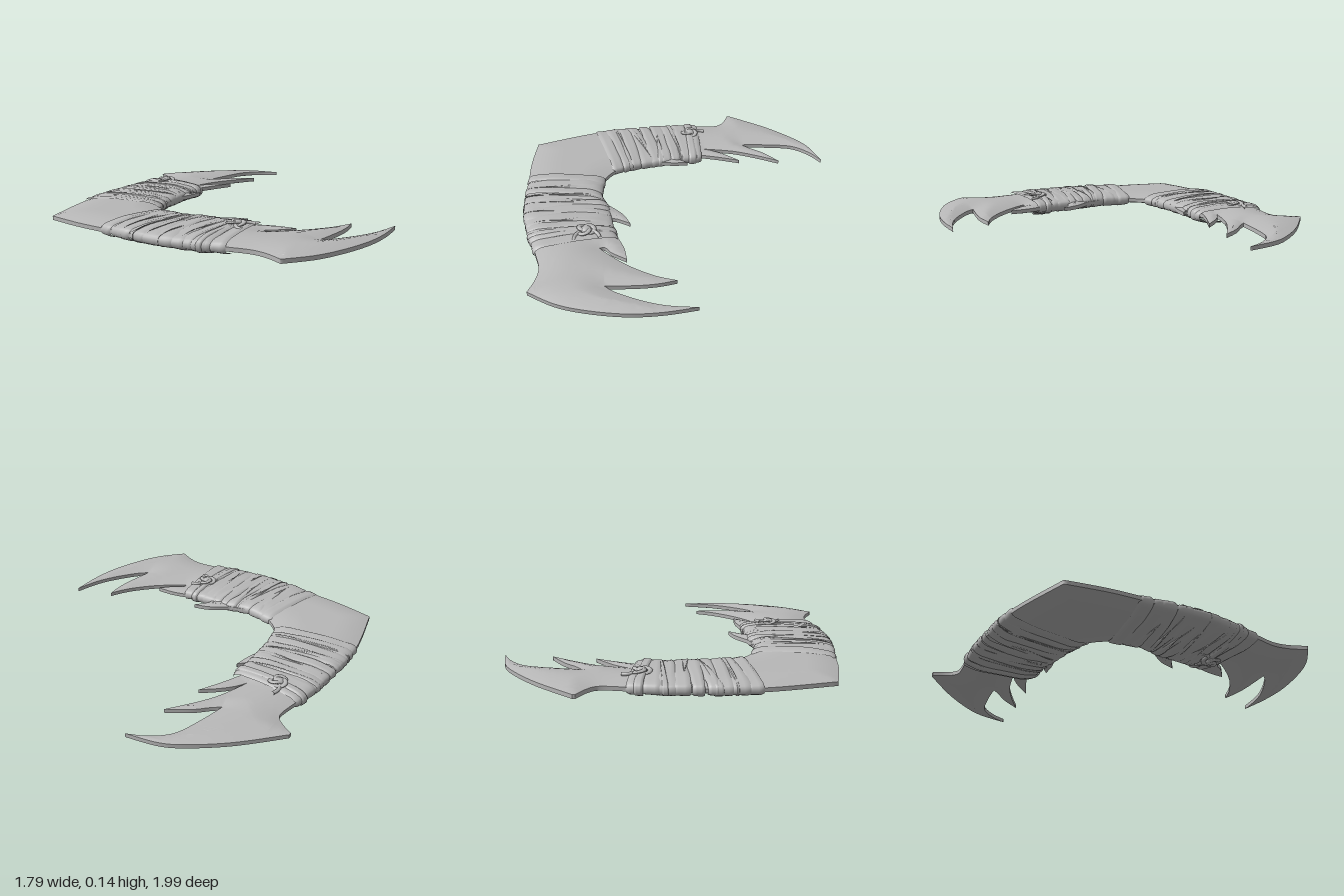
import * as THREE from 'three';
import { mergeVertices, mergeGeometries } from 'three/addons/utils/BufferGeometryUtils.js';

const MID = 0.07; // height of the blade's middle plane

let seed = 7;
const rand = () => (seed = (seed * 16807) % 2147483647) / 2147483647;
const jitter = (s) => (rand() * 2 - 1) * s;

function smoothGeometry(positions) {
  const g = new THREE.BufferGeometry();
  g.setAttribute('position', new THREE.Float32BufferAttribute(positions, 3));
  const merged = mergeVertices(g, 1e-5);
  merged.computeVertexNormals();
  return merged;
}

// Blade outline as x, z points; each row is a smooth run from corner to corner
const TIP = [0.893, -0.455];
const OUTLINE = [
  [[0.823, -0.62], [0.728, -0.73], [0.56, -0.864], [0.332, -1.0]],
  [[0.316, -0.997]],
  [[0.295, -0.93], [0.264, -0.878], [0.216, -0.857], [0.1, -0.85]],
  [[-0.25, -0.805], [-0.55, -0.735], [-0.897, -0.573]],
  [[-0.897, -0.345], [-0.876, -0.13], [-0.838, 0.19], [-0.785, 0.37], [-0.715, 0.546],
    [-0.675, 0.663], [-0.675, 0.758], [-0.7, 0.855]],
  [[-0.55, 0.937], [-0.39, 0.978], [-0.195, 0.995], [-0.02, 0.977], [0.153, 0.933]],
  [[0, 0.927], [-0.127, 0.896], [-0.26, 0.84], [-0.32, 0.797]],
  [[-0.153, 0.785], [-0.05, 0.767], [0.042, 0.737]],
  [[-0.074, 0.705], [-0.206, 0.636], [-0.31, 0.557], [-0.382, 0.49]],
  [[-0.35, 0.487], [-0.31, 0.53], [-0.227, 0.58]],
  [[-0.252, 0.48], [-0.3, 0.38]],
  [[-0.35, 0.22]],
  [[-0.31, 0.225], [-0.237, 0.262]],
  [[-0.285, 0.175], [-0.375, 0.09]],
  [[-0.42, 0], [-0.443, -0.09], [-0.42, -0.196], [-0.36, -0.29], [-0.26, -0.345], [-0.13, -0.39]],
  [[-0.03, -0.385], [0.063, -0.392]],
  [[0.0, -0.43]],
  [[0.13, -0.485]],
  [[0.25, -0.463], [0.385, -0.43]],
  [[0.295, -0.498], [0.22, -0.54], [0.153, -0.56]],
  [[0.34, -0.54], [0.48, -0.497], [0.628, -0.435]],
  [[0.533, -0.53], [0.45, -0.585], [0.405, -0.622]],
  [[0.56, -0.627], [0.718, -0.615], [0.823, -0.546], TIP],
];

function bladeGeometry() {
  const shape = new THREE.Shape().moveTo(...TIP);
  for (const run of OUTLINE) shape.splineThru(run.map((p) => new THREE.Vector2(...p)));
  const rim = shape.getPoints(6);
  if (rim[0].distanceTo(rim[rim.length - 1]) < 1e-6) rim.pop();
  if (THREE.ShapeUtils.isClockWise(rim)) rim.reverse();

  // Half thickness swells from the rim inwards
  const EDGE = 0.011, CORE = 0.035, REACH = 0.17;
  const halfThickness = (p) => {
    let best = REACH * REACH;
    rim.forEach((a, i) => {
      const b = rim[(i + 1) % rim.length];
      const dx = b.x - a.x, dy = b.y - a.y;
      const t = THREE.MathUtils.clamp(((p.x - a.x) * dx + (p.y - a.y) * dy) / (dx * dx + dy * dy), 0, 1);
      best = Math.min(best, (p.x - a.x - t * dx) ** 2 + (p.y - a.y - t * dy) ** 2);
    });
    return EDGE + (CORE - EDGE) * (1 - (1 - Math.sqrt(best) / REACH) ** 2);
  };

  // Faces: split the longest edges until the mesh is fine enough to bend
  const top = [], bottom = [], wall = [], cache = new Map();
  const height = (p) => {
    const key = p.x.toFixed(6) + ',' + p.y.toFixed(6);
    if (!cache.has(key)) cache.set(key, halfThickness(p));
    return cache.get(key);
  };
  const split = (a, b, c) => {
    const ab = a.distanceTo(b), bc = b.distanceTo(c), ca = c.distanceTo(a);
    const longest = Math.max(ab, bc, ca);
    if (longest > 0.045) {
      if (longest === bc) return split(b, c, a);
      if (longest === ca) return split(c, a, b);
      const m = a.clone().add(b).multiplyScalar(0.5);
      split(a, m, c);
      split(m, b, c);
      return;
    }
    for (const p of [a, c, b]) top.push(p.x, MID + height(p), p.y);
    for (const p of [a, b, c]) bottom.push(p.x, MID - height(p), p.y);
  };
  for (const [i, j, k] of THREE.ShapeUtils.triangulateShape(rim, [])) {
    const [a, b, c] = [rim[i], rim[j], rim[k]];
    const turn = (b.x - a.x) * (c.y - a.y) - (b.y - a.y) * (c.x - a.x);
    if (turn > 0) split(a, b, c); else split(a, c, b);
  }

  // Narrow wall around the rim
  rim.forEach((p, i) => {
    const q = rim[(i + 1) % rim.length];
    const lo = MID - EDGE, hi = MID + EDGE;
    wall.push(p.x, lo, p.y, p.x, hi, p.y, q.x, hi, q.y, p.x, lo, p.y, q.x, hi, q.y, q.x, lo, q.y);
  });
  return mergeGeometries([top, bottom, wall].map(smoothGeometry));
}

// One turn of cloth around an arm, from u0 to u1 along its two edge curves
function bandGeometry(arm, u0, u1, slant0, slant1, h0, h1) {
  const STEPS = 6, SIDES = 36, rows = [];
  const phase = rand() * 6, phase2 = rand() * 6;
  const clamp = (u) => THREE.MathUtils.clamp(u, 0, 1);
  for (let i = 0; i <= STEPS; i++) {
    const t = i / STEPS, u = u0 + (u1 - u0) * t, slant = slant0 + (slant1 - slant0) * t;
    const o = arm.outer.getPoint(clamp(u + slant)), n = arm.inner.getPoint(clamp(u - slant));
    const centre = o.clone().add(n).multiplyScalar(0.5), half = o.clone().sub(centre);
    const tuck = i === 0 || i === STEPS ? 0.008 : 0;
    const h = h0 + (h1 - h0) * t - tuck;
    half.setLength(half.length() + (h - 0.04));
    const row = [];
    for (let j = 0; j < SIDES; j++) {
      const a = (j / SIDES) * Math.PI * 2, c = Math.cos(a), s = Math.sin(a);
      const wave = 0.0015 * Math.sin(3 * a + phase + 2 * t) + 0.0015 * Math.sin(7 * a + phase2);
      const across = Math.sign(c) * Math.abs(c) ** 0.7, up = Math.sign(s) * Math.abs(s) ** 0.7;
      row.push([centre.x + half.x * across, MID + up * (h + wave), centre.z + half.z * across]);
    }
    rows.push(row);
  }
  const out = [];
  for (let i = 0; i < STEPS; i++) for (let j = 0; j < SIDES; j++) {
    const k = (j + 1) % SIDES;
    const [a, b, c, d] = [rows[i][j], rows[i][k], rows[i + 1][j], rows[i + 1][k]];
    out.push(...a, ...b, ...c, ...b, ...d, ...c);
  }
  return smoothGeometry(out);
}

const edge = (pts) => new THREE.CatmullRomCurve3(pts.map(([x, z]) => new THREE.Vector3(x, 0, z)));

// Layered turns plus a few narrow folds lying over them
function wrapGeometry(arm, turns, folds) {
  const parts = [];
  for (let i = 0; i < turns; i++) {
    const ends = i === 0 || i === turns - 1 ? 0 : 1;
    const h = 0.046 + jitter(0.002);
    parts.push(bandGeometry(arm, i / turns, Math.min(1, (i + 1.25) / turns),
      ends * jitter(0.035), ends * jitter(0.035), h + 0.003, h - 0.003));
  }
  for (let i = 0; i < folds; i++) {
    const u = 0.1 + (0.75 * (i + 0.5)) / folds;
    parts.push(bandGeometry(arm, u, u + 0.035, jitter(0.08), jitter(0.08), 0.049, 0.048));
  }
  return mergeGeometries(parts);
}

// Tied knot with two loops and two short tails
function makeKnot(material, angle) {
  const knot = new THREE.Group();
  const add = (geometry) => {
    const mesh = new THREE.Mesh(geometry, material);
    mesh.name = 'knotStrand';
    knot.add(mesh);
    return mesh;
  };
  const core = add(new THREE.TorusKnotGeometry(0.03, 0.013, 64, 8, 2, 3));
  core.rotation.x = Math.PI / 2;
  core.scale.z = 0.55;
  add(new THREE.SphereGeometry(0.03, 16, 10)).scale.y = 0.6;
  for (const s of [-1, 1]) {
    const tail = new THREE.CatmullRomCurve3([[0, 0], [0.035, 0.012 * s], [0.06, 0.035 * s], [0.07, 0.07 * s]]
      .map(([x, z], i) => new THREE.Vector3(x * s, -0.004 * i, z * s)));
    add(new THREE.TubeGeometry(tail, 12, 0.01, 8));
  }
  knot.rotation.y = angle;
  return knot;
}

export function createModel() {
  const model = new THREE.Group();
  model.name = 'curvedBlade';
  const grey = new THREE.MeshStandardMaterial({ color: 0xb8b8b8 });
  grey.name = 'grey';
  const add = (name, geometry) => {
    const mesh = new THREE.Mesh(geometry, grey);
    mesh.name = name;
    model.add(mesh);
  };

  add('blade', bladeGeometry());

  // Cloth grips on both arms
  const rearArm = {
    outer: edge([[-0.55, -0.74], [-0.4, -0.78], [-0.25, -0.81], [-0.08, -0.84], [0.11, -0.855]]),
    inner: edge([[-0.385, -0.275], [-0.26, -0.34], [-0.12, -0.388], [0, -0.42], [0.152, -0.452]]),
  };
  const frontArm = {
    outer: edge([[-0.72, 0.54], [-0.785, 0.37], [-0.84, 0.19], [-0.865, 0], [-0.88, -0.19]]),
    inner: edge([[-0.292, 0.41], [-0.335, 0.28], [-0.375, 0.11], [-0.425, 0], [-0.425, -0.195]]),
  };
  add('rearWrap', wrapGeometry(rearArm, 9, 4));
  add('frontWrap', wrapGeometry(frontArm, 10, 6));

  // Tying straps under the knots
  add('rearStrap', bandGeometry(rearArm, 0.88, 0.95, 0.01, 0, 0.054, 0.053));
  add('frontStrap', bandGeometry(frontArm, 0.13, 0.19, 0.03, 0.02, 0.053, 0.054));

  // Knots: one on the rear arm, one on each face of the front arm
  for (const [name, x, y, z, angle] of [
    ['rearKnot', 0.07, 0.121, -0.7, 1.2],
    ['frontKnotTop', -0.465, 0.124, 0.385, 0.2],
    ['frontKnotBottom', -0.465, 0.018, 0.385, 0.2],
  ]) {
    const knot = makeKnot(grey, angle);
    knot.name = name;
    knot.position.set(x, y, z);
    if (y < MID) knot.rotation.x = Math.PI;
    model.add(knot);
  }
  return model;
}
